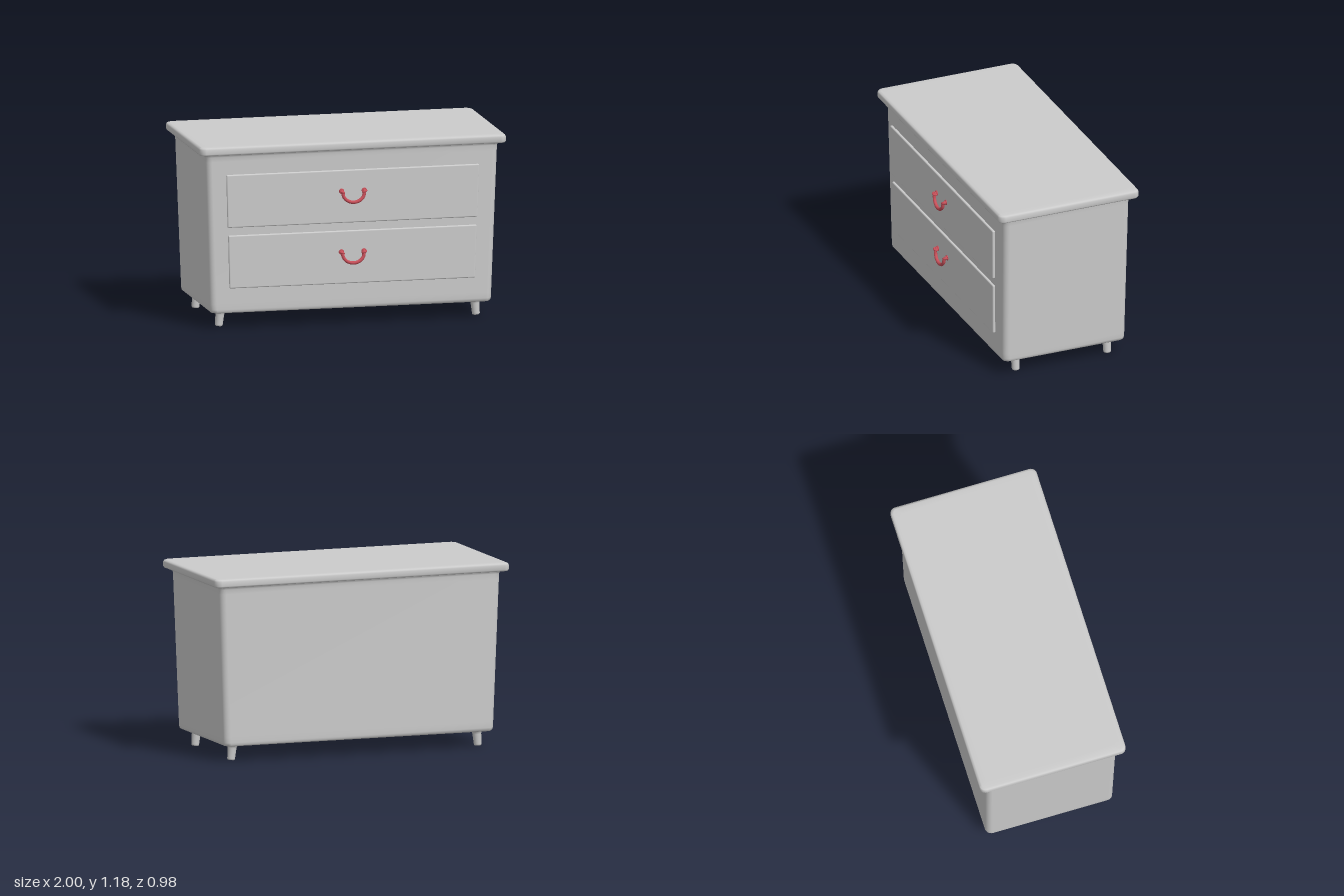
import * as THREE from 'three';
import { RoundedBoxGeometry } from 'three/addons/geometries/RoundedBoxGeometry.js';

const grey = new THREE.MeshStandardMaterial({ color: 0xcccccc });
const red = new THREE.MeshStandardMaterial({ color: 0xc8505a });

function add(parent, name, geometry, material = grey) {
  const mesh = new THREE.Mesh(geometry, material);
  mesh.name = name;
  parent.add(mesh);
  return mesh;
}

// Stacks rounded-rectangle rings [y, halfWidth, halfDepth, cornerRadius] from bottom to top
function loft(rings, steps = 6) {
  const positions = [], index = [];
  const n = 4 * (steps + 1);
  for (const [y, hx, hz, r] of rings) {
    for (let corner = 0; corner < 4; corner++) {
      const sx = corner === 0 || corner === 3 ? 1 : -1;
      const sz = corner < 2 ? 1 : -1;
      for (let i = 0; i <= steps; i++) {
        const a = (corner + i / steps) * Math.PI / 2;
        positions.push(sx * (hx - r) + r * Math.cos(a), y, sz * (hz - r) + r * Math.sin(a));
      }
    }
  }
  for (let k = 0; k < rings.length - 1; k++) {
    for (let i = 0; i < n; i++) {
      const a = k * n + i, b = k * n + (i + 1) % n;
      index.push(a, a + n, b, b, a + n, b + n);
    }
  }
  // Flat caps
  const top = (rings.length - 1) * n;
  for (let i = 1; i < n - 1; i++) {
    index.push(0, i, i + 1, top, top + i + 1, top + i);
  }
  const geometry = new THREE.BufferGeometry();
  geometry.setAttribute('position', new THREE.Float32BufferAttribute(positions, 3));
  geometry.setIndex(index);
  geometry.computeVertexNormals();
  return geometry;
}

// Rounded panel that widens and leans forward towards its top
function panel(width, height, depth, radius) {
  const geometry = new RoundedBoxGeometry(width, height, depth, 3, radius);
  const p = geometry.attributes.position;
  for (let i = 0; i < p.count; i++) {
    const y = p.getY(i);
    p.setX(i, p.getX(i) * (1 + 0.035 * y));
    p.setZ(i, p.getZ(i) + 0.016 * y);
  }
  return geometry;
}

// Drooping bail handle with a rosette at each end
function createHandle() {
  const handle = new THREE.Group();
  handle.name = 'handle';
  const points = [[-0.072, 0.018, -0.022], [-0.073, 0.014, -0.004]];
  for (let i = 0; i <= 8; i++) {
    const a = Math.PI * (1 + i / 8);
    points.push([0.07 * Math.cos(a), 0.005 + 0.06 * Math.sin(a), 0.004 - 0.006 * Math.sin(a)]);
  }
  points.push([0.073, 0.014, -0.004], [0.072, 0.018, -0.022]);
  const curve = new THREE.CatmullRomCurve3(points.map(p => new THREE.Vector3(...p)));
  add(handle, 'handleBar', new THREE.TubeGeometry(curve, 48, 0.011, 10), red);
  for (const side of [-1, 1]) {
    const base = add(handle, 'handleRosette', new THREE.CylinderGeometry(0.016, 0.02, 0.014, 16), red);
    base.rotation.x = Math.PI / 2;
    base.position.set(side * 0.074, 0.015, -0.016);
    const collar = add(handle, 'handleCollar', new THREE.TorusGeometry(0.013, 0.006, 8, 18), red);
    collar.rotation.set(Math.PI / 2, side * 0.35, 0);
    collar.position.set(side * 0.073, 0.012, 0);
  }
  return handle;
}

function createDrawer(y, z, width) {
  const drawer = new THREE.Group();
  drawer.name = 'drawer';
  add(drawer, 'drawerFront', panel(width, 0.342, 0.019, 0.008));
  add(drawer, 'drawerBox', panel(width - 0.05, 0.31, 0.04, 0.008)).position.z = -0.02;
  const handle = createHandle();
  handle.position.set(0, 0.02, 0.024);
  drawer.add(handle);
  drawer.position.set(0, y, z);
  return drawer;
}

export function createModel() {
  const model = new THREE.Group();
  model.name = 'chestOfDrawers';

  // Tapered cabinet with a rounded base and a small flare under the top
  add(model, 'cabinet', loft([
    [0.1, 0.86, 0.37, 0.03],
    [0.1, 0.893, 0.4, 0.03],
    [0.103, 0.905, 0.411, 0.036],
    [0.11, 0.913, 0.418, 0.04],
    [0.125, 0.917, 0.421, 0.04],
    [0.16, 0.918, 0.4215, 0.04],
    [1.08, 0.952, 0.434, 0.04],
    [1.112, 0.954, 0.435, 0.04],
    [1.123, 0.958, 0.44, 0.04],
    [1.135, 0.968, 0.449, 0.04],
  ]));

  // Overhanging top with softened edges
  add(model, 'tabletop', loft([
    [1.13, 0.94, 0.425, 0.03],
    [1.13, 0.982, 0.466, 0.03],
    [1.133, 0.994, 0.478, 0.036],
    [1.142, 1, 0.484, 0.04],
    [1.17, 1, 0.484, 0.04],
    [1.18, 0.995, 0.479, 0.037],
    [1.185, 0.982, 0.466, 0.03],
    [1.185, 0.94, 0.425, 0.03],
  ]));

  model.add(createDrawer(0.829, 0.449, 1.638));
  model.add(createDrawer(0.436, 0.441, 1.61));

  // Short splayed legs that flare into the base
  const profile = [[0, 0], [0.02, 0], [0.024, 0.004], [0.025, 0.01], [0.028, 0.075], [0.032, 0.09], [0.042, 0.102], [0.042, 0.115]];
  const legGeometry = new THREE.LatheGeometry(profile.map(p => new THREE.Vector2(...p)), 20);
  for (const side of [-1, 1]) {
    for (const z of [0.307, -0.324]) {
      const leg = add(model, 'leg', legGeometry);
      leg.position.set(side * 0.839, 0.002, z);
      leg.rotation.z = side * 0.1;
    }
  }
  return model;
}
